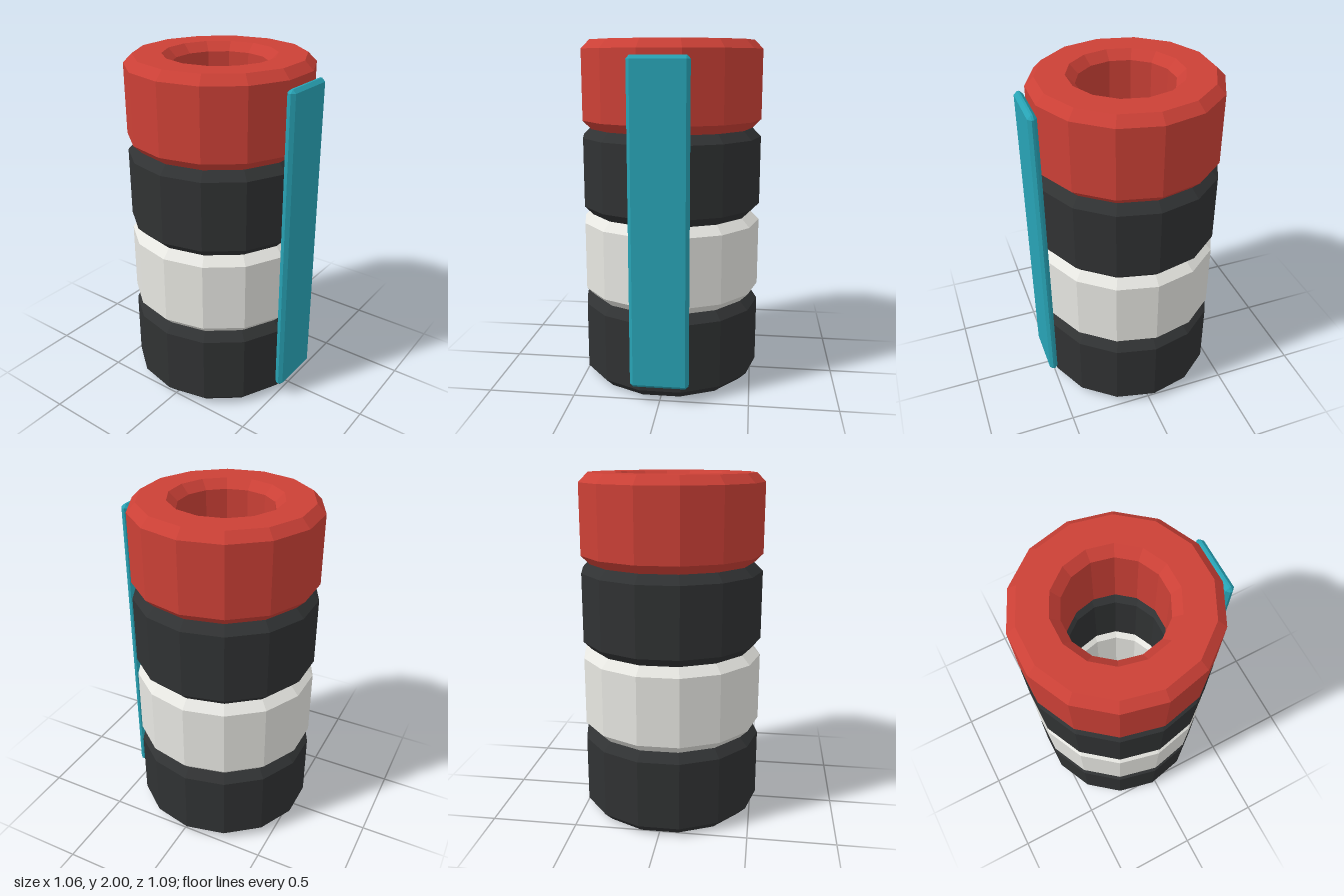
import * as THREE from 'three';
import { ConvexGeometry } from 'three/addons/geometries/ConvexGeometry.js';

const mat = (color) => new THREE.MeshStandardMaterial({ color, flatShading: true });

// Closed ring with chamfered rims, standing on y = 0
function tireGeometry(outer, inner, height, bevel, sides) {
  const profile = [
    [inner + bevel, 0], [outer - bevel, 0], [outer, bevel], [outer, height - bevel],
    [outer - bevel, height], [inner + bevel, height], [inner, height - bevel], [inner, bevel],
    [inner + bevel, 0],
  ].map(([r, y]) => new THREE.Vector2(r, y));
  return new THREE.LatheGeometry(profile, sides, Math.PI / 2);
}

// Box with every edge and corner chamfered
function chamferedBox(w, h, d, b) {
  const half = [w / 2, h / 2, d / 2];
  const points = [];
  for (const sx of [-1, 1]) for (const sy of [-1, 1]) for (const sz of [-1, 1]) {
    for (let full = 0; full < 3; full++) {
      const [x, y, z] = half.map((v, i) => (i === full ? v : v - b));
      points.push(new THREE.Vector3(sx * x, sy * y, sz * z));
    }
  }
  return new ConvexGeometry(points);
}

export function createModel() {
  const model = new THREE.Group();
  model.name = 'tireStack';

  // Four stacked tires, bottom to top
  const dark = mat(0x303233);
  const tires = [
    ['bottomTire', dark], ['whiteTire', mat(0xe6e6e1)],
    ['upperDarkTire', dark], ['redTopTire', mat(0xcb4036)],
  ];
  const geometry = tireGeometry(0.532, 0.27, 0.5, 0.05, 14);
  tires.forEach(([name, material], i) => {
    const tire = new THREE.Mesh(geometry, material);
    tire.name = name;
    tire.position.set(0, i * 0.5, -0.028);
    model.add(tire);
  });

  // Vertical strip in front of the stack
  const strip = new THREE.Mesh(chamferedBox(0.332, 1.825, 0.05, 0.019), mat(0x28a3b5));
  strip.name = 'frontStrip';
  strip.position.set(0, 1.0025, 0.52);
  model.add(strip);

  return model;
}
